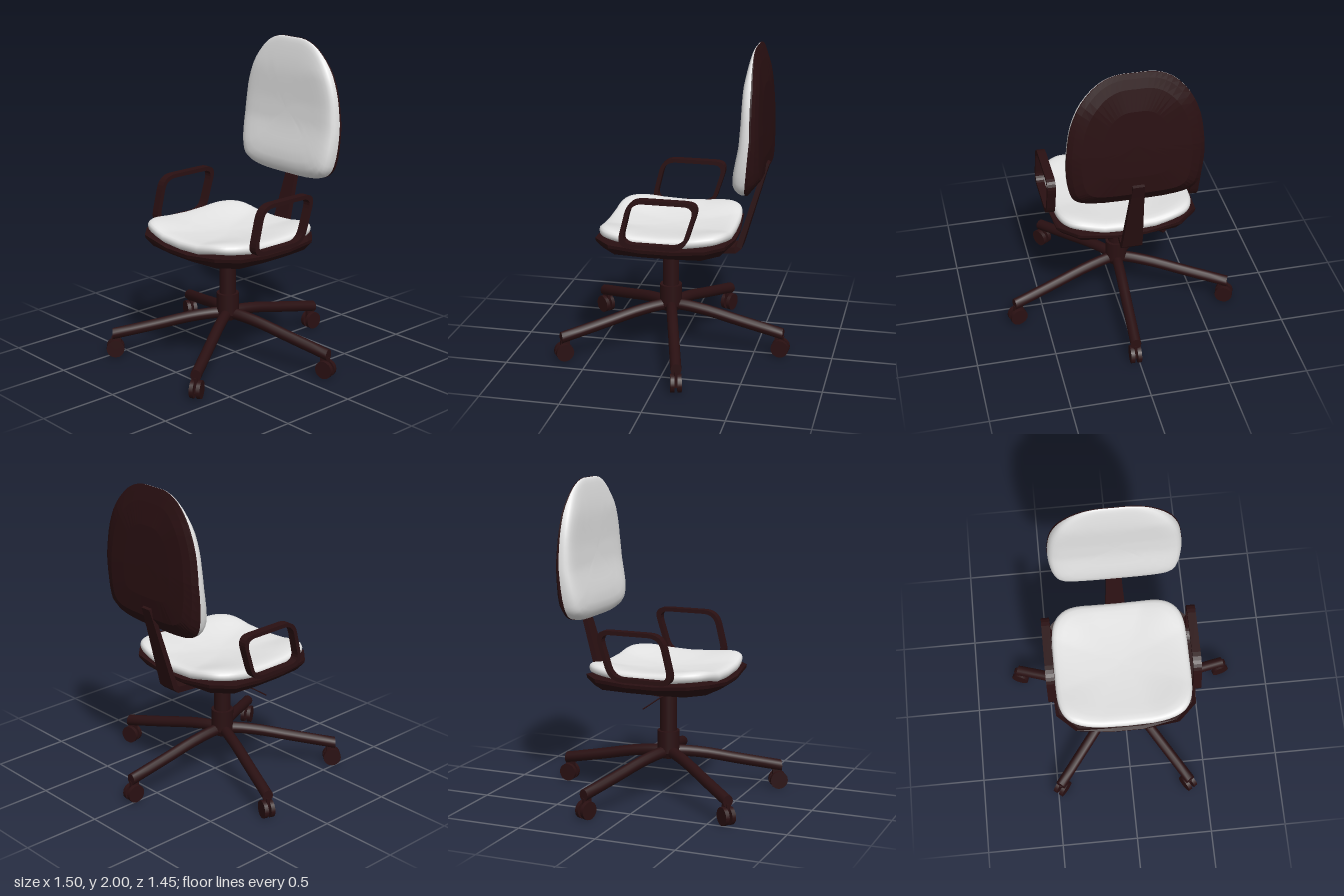
import * as THREE from 'three';

const frameMat = new THREE.MeshStandardMaterial({ color: 0x2a1012 });
frameMat.name = 'dark brown plastic';
const fabricMat = new THREE.MeshStandardMaterial({ color: 0xe4e4e4 });
fabricMat.name = 'pale grey fabric';

const CX = -0.013;
const V = (x, y, z) => new THREE.Vector3(x, y, z);

// Skin over a list of equal-length closed rings
function loft(rings, flat = false) {
  const n = rings[0].length, pos = [], idx = [];
  rings.forEach(r => r.forEach(p => pos.push(p.x, p.y, p.z)));
  for (let i = 0; i < rings.length - 1; i++) {
    for (let j = 0; j < n; j++) {
      const k = (j + 1) % n;
      const a = i * n + j, b = i * n + k, c = a + n, d = b + n;
      idx.push(a, b, d, a, d, c);
    }
  }
  let g = new THREE.BufferGeometry();
  g.setAttribute('position', new THREE.Float32BufferAttribute(pos, 3));
  g.setIndex(idx);
  if (flat) g = g.toNonIndexed();
  g.computeVertexNormals();
  return g;
}

// Close both ends of a ring list with sharp flat caps
function capped(rings) {
  const centre = r => {
    const c = r.reduce((s, p) => s.add(p), V(0, 0, 0)).divideScalar(r.length);
    return r.map(() => c.clone());
  };
  const first = rings[0], last = rings[rings.length - 1];
  return [centre(first), first, ...rings, last, centre(last)];
}

function add(parent, name, geo, mat, x = 0, y = 0, z = 0) {
  const m = new THREE.Mesh(geo, mat);
  m.name = name;
  m.position.set(x, y, z);
  parent.add(m);
  return m;
}

// Piecewise linear lookup in [key, value] pairs
function lookup(table, t) {
  if (t <= table[0][0]) return table[0][1];
  for (let i = 1; i < table.length; i++) {
    const [t0, v0] = table[i - 1], [t1, v1] = table[i];
    if (t <= t1) return v0 + (v1 - v0) * (t - t0) / (t1 - t0);
  }
  return table[table.length - 1][1];
}

// Saddle: the seat rises towards its sides and corners
function saddle(x, z) {
  const sx = THREE.MathUtils.smoothstep(Math.abs(x), 0.08, 0.34);
  const sz = THREE.MathUtils.smoothstep(Math.abs(z), 0.05, 0.34);
  return 0.02 * sx + 0.018 * sx * sz + 0.006 * sz;
}

function buildSeat(group) {
  // cushion: superellipse rings from the underside to the top
  const N = 56;
  const profile = [[0, 0.79], [0.96, 0.785], [0.99, 0.795], [1, 0.815], [0.99, 0.83], [0.965, 0.84],
    [0.92, 0.845], [0.84, 0.845], [0.7, 0.841], [0.5, 0.836], [0.25, 0.833], [0, 0.832]];
  const pw = v => Math.sign(v) * Math.pow(Math.abs(v), 0.45);
  const cushion = profile.map(([s, y]) => Array.from({ length: N }, (_, j) => {
    const a = j / N * Math.PI * 2;
    const x = 0.435 * s * pw(Math.cos(a)), z = -0.415 * s * pw(Math.sin(a));
    return V(x, y + saddle(x, z), z);
  }));
  add(group, 'seatCushion', loft(cushion), fabricMat, CX, 0, 0.04);

  // pan: faceted sixteen-sided shell below the cushion
  const q = [[0.457, 0.1], [0.445, 0.3], [0.33, 0.41], [0.1, 0.43]];
  const r = [...q].reverse();
  const outline = [...q.map(([x, z]) => [x, -z]), ...r.map(([x, z]) => [-x, -z]),
    ...q.map(([x, z]) => [-x, z]), ...r.map(([x, z]) => [x, z])];
  const pan = [[0, 0.69], [0.5, 0.7], [0.9, 0.735], [0.99, 0.76], [1, 0.782], [0.95, 0.79], [0, 0.79]]
    .map(([s, y]) => outline.map(([x, z]) =>
      V(x * s, y + (s > 0.95 ? 0.7 : 0.1) * saddle(x * s, z * s), z * s)));
  add(group, 'seatPan', loft(pan, true), frameMat, CX, 0, 0.045);
}

function buildBackrest(group) {
  const half = [[0.25, 1.13], [0.35, 1.165], [0.39, 1.23], [0.412, 1.4], [0.405, 1.55],
    [0.38, 1.7], [0.32, 1.84], [0.22, 1.95], [0.12, 1.995]];
  const loop = [[0, 1.12], ...half, [0, 2], ...[...half].reverse().map(([x, y]) => [-x, y])];
  const outline = new THREE.CatmullRomCurve3(loop.map(([x, y]) => V(x, y, 0)), true).getPoints(60).slice(0, 60);
  const seam = [[1.12, -0.475], [1.3, -0.495], [1.5, -0.512], [1.8, -0.508], [2, -0.495]];
  const front = [[1.12, -0.41], [1.2, -0.395], [1.28, -0.402], [1.45, -0.437], [1.6, -0.447], [1.8, -0.45], [2, -0.478]];
  const back = [[1.12, -0.51], [1.22, -0.567], [1.5, -0.562], [1.8, -0.548], [2, -0.51]];
  // each ring is the outline scaled by s, moved a fraction f from the seam to a face
  const ring = (s, f, face) => outline.map(p => {
    const y = 1.55 + (p.y - 1.55) * s;
    const z0 = lookup(seam, y);
    return V(p.x * s, y, z0 + (lookup(face, y) - z0) * f);
  });
  const cushion = [[1, 0], [1, 0.3], [0.985, 0.55], [0.96, 0.75], [0.92, 0.88], [0.85, 0.96],
    [0.75, 1], [0.6, 1], [0.45, 1], [0.3, 1], [0.15, 1], [0, 1]];
  add(group, 'backrestCushion', loft(cushion.map(([s, f]) => ring(s, f, front))), fabricMat, -0.005);
  const shell = [[0, 1], [0.25, 1], [0.5, 1], [0.8, 0.9], [0.93, 0.6], [1.003, 0.25], [1.003, 0], [0.95, 0]];
  add(group, 'backrestShell', loft(shell.map(([s, f]) => ring(s, f, back)), true), frameMat, -0.005);
}

// Bent strap from under the seat up to the backrest
function buildBackSupport(group) {
  const stations = [[0.03, 0.65, 0.03, 0, 0.018], [-0.375, 0.7, 0.065, 0.006, 0.02],
    [-0.4, 0.72, 0.065, 0.016, 0.008], [-0.535, 1.18, 0.04, 0.014, 0.004], [-0.565, 1.27, 0.036, 0.012, 0.004]];
  const rings = stations.map(([z, y, w, dz, dy]) => [
    V(-w, y + dy, z + dz), V(w, y + dy, z + dz), V(w, y - dy, z - dz), V(-w, y - dy, z - dz)]);
  add(group, 'backSupport', loft(capped(rings), true), frameMat, CX);
}

// Rounded polygon drawn through corner points
function roundedLoop(target, pts, radius) {
  pts.forEach((p, i) => {
    const toward = q => p.clone().add(q.clone().sub(p).setLength(radius));
    const a = toward(pts[(i + pts.length - 1) % pts.length]);
    const b = toward(pts[(i + 1) % pts.length]);
    if (i === 0) target.moveTo(a.x, a.y); else target.lineTo(a.x, a.y);
    target.quadraticCurveTo(p.x, p.y, b.x, b.y);
  });
  target.closePath();
  return target;
}

function buildArmrests(group) {
  // the shape's x axis is -z of the chair
  const P = (z, y) => new THREE.Vector2(-z, y);
  const outer = [P(0.283, 0.815), P(-0.14, 0.815), P(-0.238, 1.125), P(0.205, 1.125)];
  const inner = [P(0.248, 0.84), P(-0.122, 0.84), P(-0.203, 1.1), P(0.185, 1.1)];
  const shape = roundedLoop(new THREE.Shape(), outer, 0.09);
  shape.holes.push(roundedLoop(new THREE.Path(), inner, 0.07));
  const geo = new THREE.ExtrudeGeometry(shape, { depth: 0.053, bevelEnabled: false, curveSegments: 6 });
  geo.translate(0, 0, -0.0265);
  geo.rotateY(Math.PI / 2);
  for (const side of [1, -1]) {
    add(group, side > 0 ? 'leftArmrest' : 'rightArmrest', geo, frameMat, CX + side * 0.458);
  }
}

function buildBase(group) {
  const base = new THREE.Group();
  base.name = 'base';
  base.position.set(-0.015, 0, 0.05);
  group.add(base);

  // column and hub
  add(base, 'gasColumn', new THREE.CylinderGeometry(0.053, 0.053, 0.34, 16), frameMat, 0, 0.56);
  add(base, 'columnSleeve', new THREE.CylinderGeometry(0.071, 0.071, 0.14, 16), frameMat, 0, 0.35);
  add(base, 'hub', new THREE.CylinderGeometry(0.071, 0.05, 0.04, 16), frameMat, 0, 0.262);

  // height lever
  const lever = add(base, 'heightLever', new THREE.CylinderGeometry(0.004, 0.004, 0.39, 6), frameMat, -0.205, 0.653, 0);
  lever.rotation.z = Math.PI / 2 + 0.045;

  // five arched legs with twin-wheel castors
  const spine = new THREE.CatmullRomCurve3(
    [[0.01, 0.284], [0.1, 0.28], [0.25, 0.258], [0.45, 0.213], [0.74, 0.151]].map(([r, y]) => V(0, y, r)));
  const rings = spine.getPoints(10).map(c => Array.from({ length: 12 }, (_, j) => {
    const a = j / 12 * Math.PI * 2;
    return V(0.034 * Math.cos(a), c.y + 0.037 * Math.sin(a), c.z);
  }));
  const legGeo = loft(capped(rings));
  const wheelGeo = new THREE.CylinderGeometry(0.057, 0.057, 0.025, 16);
  wheelGeo.rotateZ(Math.PI / 2);
  const forkGeo = new THREE.BoxGeometry(0.02, 0.1, 0.06);
  for (let i = 0; i < 5; i++) {
    const leg = new THREE.Group();
    leg.name = 'leg' + (i + 1);
    leg.rotation.y = Math.PI - THREE.MathUtils.degToRad(3 + 72 * i);
    base.add(leg);
    add(leg, 'legArm', legGeo, frameMat);
    add(leg, 'castorFork', forkGeo, frameMat, 0, 0.085, 0.715);
    for (const s of [-1, 1]) add(leg, 'castorWheel', wheelGeo, frameMat, s * 0.0215, 0.057, 0.722);
  }
}

export function createModel() {
  const group = new THREE.Group();
  group.name = 'officeChair';
  buildSeat(group);
  buildBackrest(group);
  buildBackSupport(group);
  buildArmrests(group);
  buildBase(group);
  return group;
}
